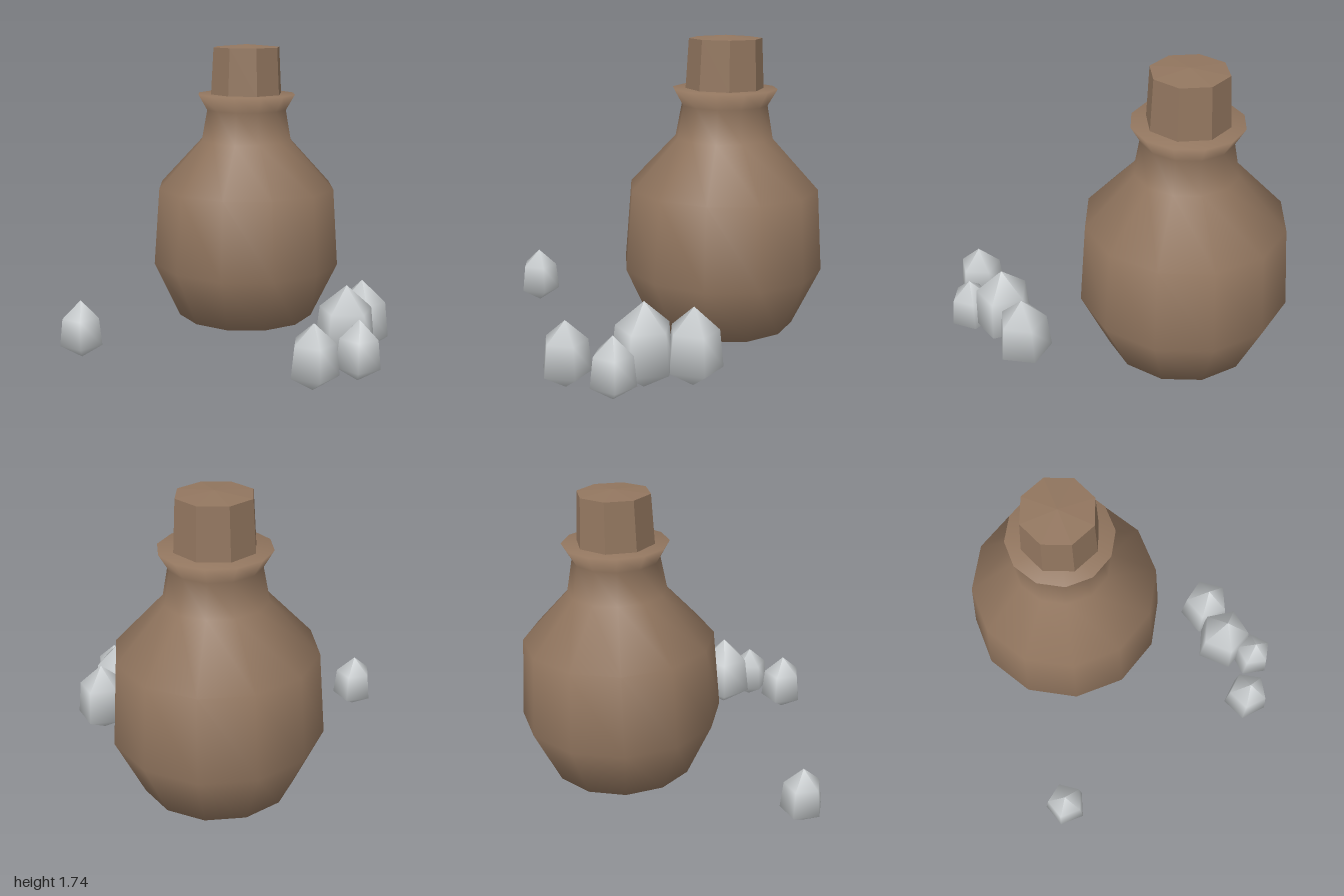
import * as THREE from 'three';

const brown = new THREE.MeshStandardMaterial({ color: 0x92765f });
brown.name = 'warm brown';
const grey = new THREE.MeshStandardMaterial({ color: 0xc9cdcf });
grey.name = 'pale grey';

// Faceted solid of revolution; profile is a list of [radius, height] from bottom to top
function turned(profile, sides, start = 0) {
  const points = profile.map(([r, y]) => new THREE.Vector2(r, y));
  return new THREE.LatheGeometry(points, sides, start);
}

function addPart(group, name, geometry, material, x, z) {
  const mesh = new THREE.Mesh(geometry, material);
  mesh.name = name;
  mesh.position.set(x, 0, z);
  group.add(mesh);
}

export function createModel() {
  const model = new THREE.Group();
  model.name = 'bottleAndPebbles';
  const bottleX = 0.31, bottleZ = -0.406;

  // Round body, sloping shoulder, neck and flared rim
  const body = turned([
    [0, 0], [0.43, 0.04], [0.59, 0.385], [0.555, 0.86],
    [0.285, 1.15], [0.25, 1.34], [0.305, 1.435], [0, 1.435],
  ], 12);
  addPart(model, 'bottleBody', body, brown, bottleX, bottleZ);

  // Eight-sided stopper with flat facets and a slightly raised top
  const stopper = turned([
    [0, 1.425], [0.226, 1.43], [0.21, 1.72], [0, 1.738],
  ], 8).toNonIndexed();
  stopper.computeVertexNormals();
  addPart(model, 'stopper', stopper, brown, bottleX, bottleZ);

  // Pointed five-sided pebbles: x, z, radius, height, turn in degrees
  const pebbles = [
    [-0.80, 0.078, 0.125, 0.335, 27],
    [0.775, 0.392, 0.157, 0.432, 28],
    [0.603, 0.582, 0.174, 0.468, 0],
    [0.313, 0.862, 0.138, 0.367, 22],
    [0.592, 0.797, 0.125, 0.342, 40],
  ];
  pebbles.forEach(([x, z, r, h, turn], i) => {
    const shape = turned(
      [[0, 0], [r, h * 0.24], [r * 0.86, h * 0.71], [0, h]],
      5, Math.PI / 2 - THREE.MathUtils.degToRad(turn));
    addPart(model, `pebble${i + 1}`, shape, grey, x, z);
  });

  return model;
}
